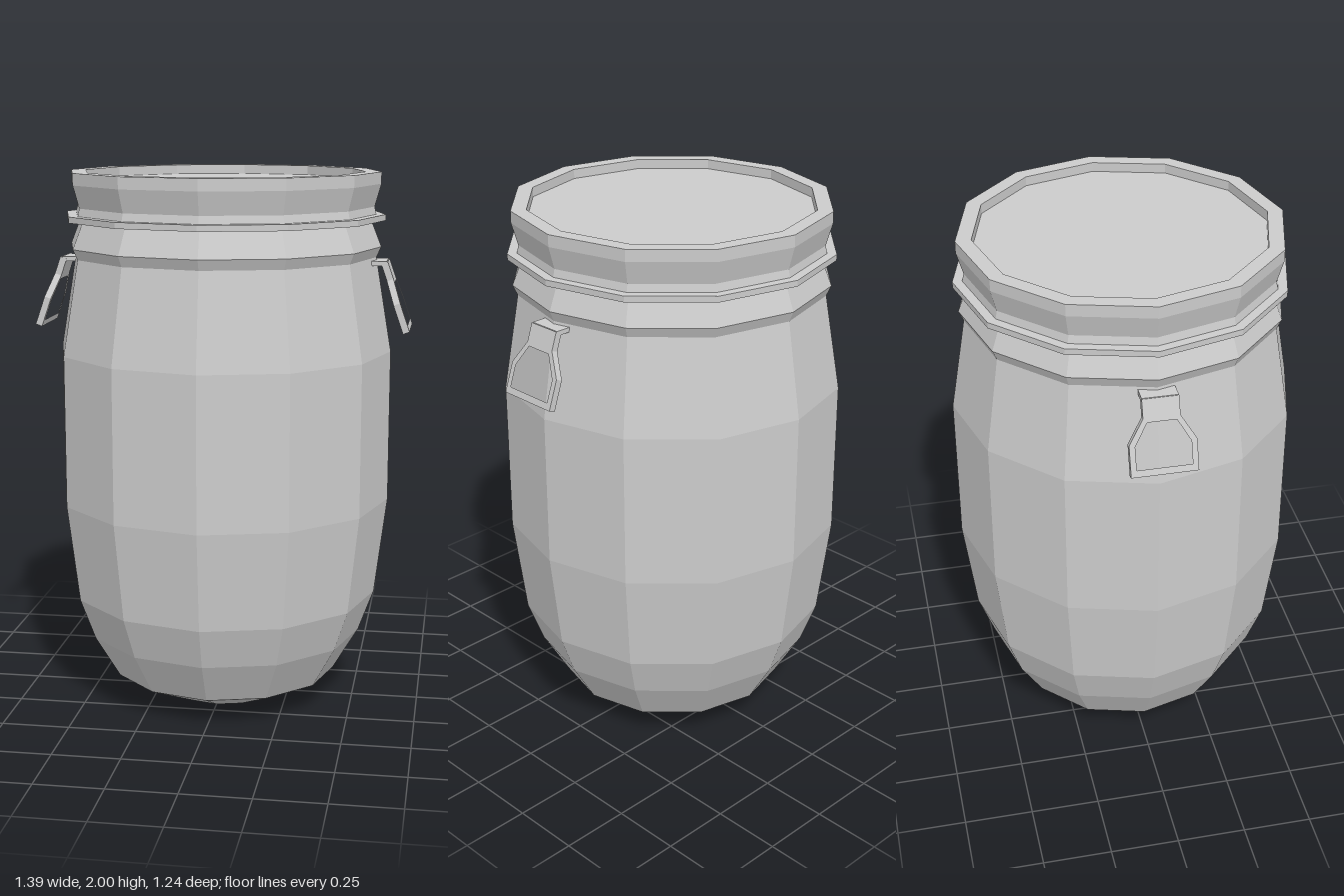
import * as THREE from 'three';

const SIDES = 12;
const material = new THREE.MeshStandardMaterial({ color: 0xcccccc, flatShading: true });

// Twelve-sided turned part from [radius, height] pairs, listed bottom to top
function turned(name, profile) {
  const points = profile.map(([r, y]) => new THREE.Vector2(r, y));
  const mesh = new THREE.Mesh(new THREE.LatheGeometry(points, SIDES), material);
  mesh.name = name;
  return mesh;
}

// Symmetric outline from [half width, height] pairs, listed top to bottom
function outline(pairs, Type) {
  const right = pairs.map(([w, y]) => new THREE.Vector2(w, y));
  const left = pairs.map(([w, y]) => new THREE.Vector2(-w, y)).reverse();
  return new Type([...right, ...left]);
}

// Handle built facing +z: flat mounting tab and sloping open loop
function createHandle(name) {
  const handle = new THREE.Group();
  handle.name = name;

  const tab = new THREE.Mesh(new THREE.BoxGeometry(0.125, 0.017, 0.068), material);
  tab.name = 'handleTab';
  tab.position.set(0, 1.674, 0.57);

  const shape = outline([[0.063, 0], [0.063, -0.066], [0.115, -0.152], [0.115, -0.262]], THREE.Shape);
  shape.holes.push(outline([[0.05, -0.08], [0.095, -0.158], [0.095, -0.238]], THREE.Path));
  const geometry = new THREE.ExtrudeGeometry(shape, { depth: 0.025, bevelEnabled: false });
  geometry.translate(0, 0, -0.025);
  const loop = new THREE.Mesh(geometry, material);
  loop.name = 'handleLoop';
  loop.rotation.x = -0.335;
  loop.position.set(0, 1.682, 0.608);

  handle.add(tab, loop);
  return handle;
}

export function createModel() {
  const model = new THREE.Group();
  model.name = 'barrel';

  // Bulging body with a raised shoulder below the neck
  model.add(turned('body', [
    [0, 0], [0.19, 0], [0.425, 0.105], [0.52, 0.265], [0.577, 0.42], [0.622, 0.785],
    [0.622, 1.345], [0.563, 1.692], [0.58, 1.73], [0.542, 1.825], [0, 1.825],
  ]));

  // Thin clamping ring
  model.add(turned('clampRing', [
    [0.5, 1.825], [0.594, 1.825], [0.594, 1.847], [0.5, 1.847],
  ]));

  // Lid with a waisted side and a recessed top
  model.add(turned('lid', [
    [0.5, 1.84], [0.56, 1.845], [0.553, 1.875], [0.576, 1.957], [0.576, 2],
    [0.52, 2], [0.52, 1.965], [0, 1.965],
  ]));

  // Handles on both sides
  for (const [name, side] of [['leftHandle', 1], ['rightHandle', -1]]) {
    const handle = createHandle(name);
    handle.rotation.y = side * Math.PI / 2;
    model.add(handle);
  }
  return model;
}
